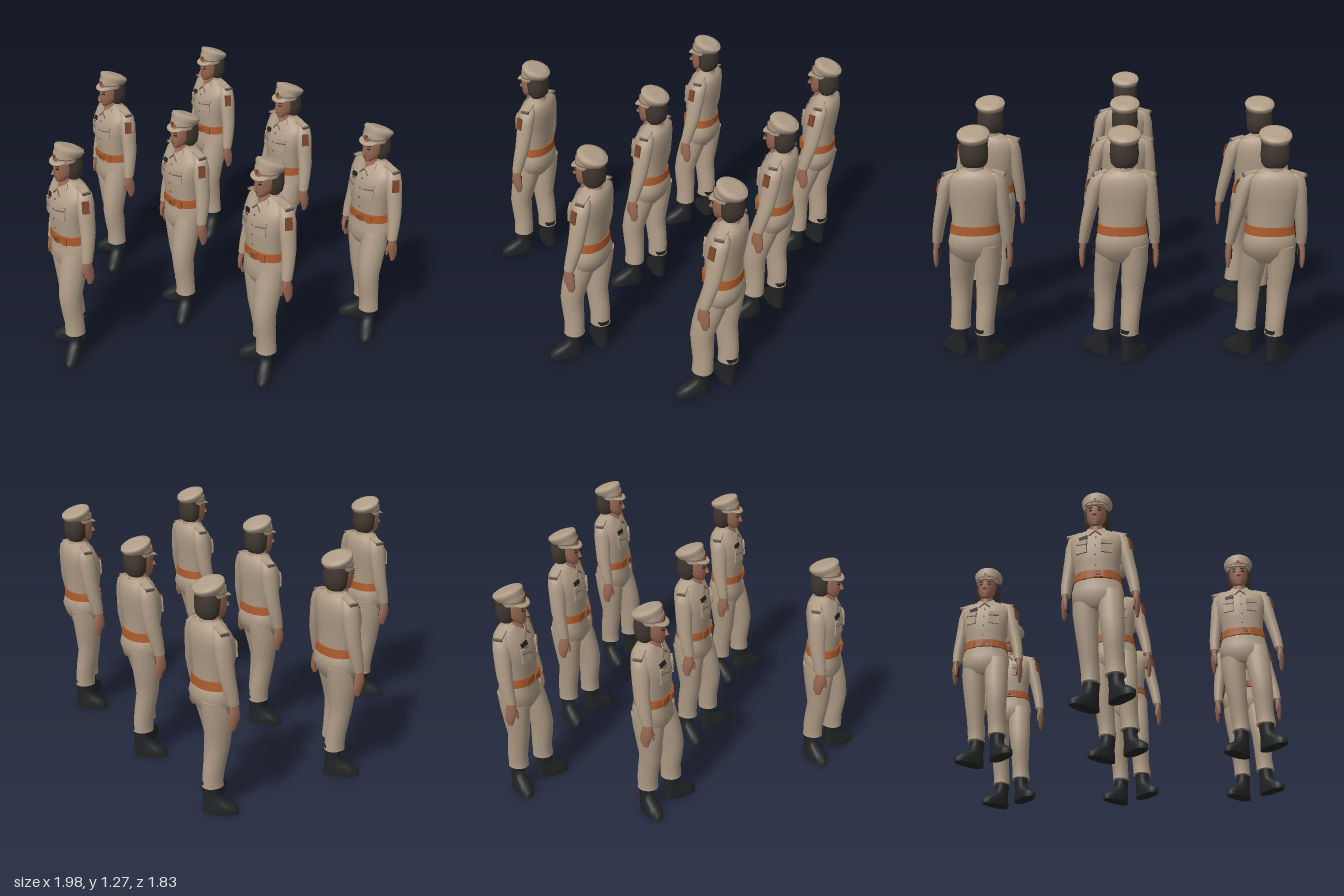
import * as THREE from 'three';

const mat = (name, color, side = THREE.FrontSide) => {
  const m = new THREE.MeshStandardMaterial({ color, side });
  m.name = name;
  return m;
};

// Smooth body from cross-sections [y, centreX, centreZ, radiusX, radiusZ], lowest first
function loft(rings, power = 1, n = 20) {
  const pos = [], idx = [];
  const addRing = ([y, cx, cz, rx, rz]) => {
    const start = pos.length / 3;
    for (let i = 0; i < n; i++) {
      const a = (i / n) * Math.PI * 2, s = Math.sin(a), c = Math.cos(a);
      pos.push(cx + rx * Math.sign(s) * Math.abs(s) ** power, y, cz + rz * Math.sign(c) * Math.abs(c) ** power);
    }
    return start;
  };
  const starts = rings.map(addRing);
  for (let j = 0; j < starts.length - 1; j++)
    for (let i = 0; i < n; i++) {
      const k = (i + 1) % n, a = starts[j], b = starts[j + 1];
      idx.push(a + i, a + k, b + k, a + i, b + k, b + i);
    }
  // End caps use their own ring so the rim stays sharp
  for (const top of [false, true]) {
    const r = rings[top ? rings.length - 1 : 0], s = addRing(r), c = pos.length / 3;
    pos.push(r[1], r[0], r[2]);
    for (let i = 0; i < n; i++) {
      const k = (i + 1) % n;
      if (top) idx.push(c, s + i, s + k);
      else idx.push(c, s + k, s + i);
    }
  }
  const g = new THREE.BufferGeometry();
  g.setAttribute('position', new THREE.Float32BufferAttribute(pos, 3));
  g.setIndex(idx);
  g.computeVertexNormals();
  return g;
}

function createFigure() {
  const khaki = mat('khaki cloth', 0xaf9c86);
  const seam = mat('shaded khaki', 0x6f6253, THREE.DoubleSide);
  const skin = mat('skin', 0x9a6a54);
  const hair = mat('dark brown hair', 0x41362f);
  const black = mat('black leather', 0x222324);
  const leather = mat('orange brown belt', 0xa9592a);
  const brown = mat('brown patch', 0x7b4529);
  const fig = new THREE.Group();
  const add = (name, geo, m, p = [0, 0, 0], r = [0, 0, 0]) => {
    const mesh = new THREE.Mesh(geo, m);
    mesh.name = name;
    mesh.position.set(...p);
    mesh.rotation.set(...r);
    fig.add(mesh);
    return mesh;
  };
  const box = (name, size, m, p, r) => add(name, new THREE.BoxGeometry(...size), m, p, r);

  // Trunk
  add('pelvis', loft([
    [0.55, -0.018, -0.025, 0.09, 0.06], [0.60, -0.018, -0.03, 0.138, 0.098],
    [0.66, -0.02, -0.045, 0.142, 0.102], [0.70, -0.02, -0.042, 0.133, 0.096], [0.74, -0.02, -0.038, 0.12, 0.089]], 0.9), khaki);
  add('shirt', loft([
    [0.73, -0.02, -0.036, 0.119, 0.089], [0.82, -0.025, -0.034, 0.125, 0.093], [0.89, -0.028, -0.035, 0.14, 0.1],
    [0.96, -0.03, -0.045, 0.15, 0.096], [1.01, -0.03, -0.057, 0.148, 0.078],
    [1.035, -0.03, -0.062, 0.115, 0.06], [1.06, -0.03, -0.055, 0.048, 0.044]], 0.9, 28), khaki);
  add('belt', loft([[0.712, -0.02, -0.038, 0.134, 0.099], [0.758, -0.02, -0.036, 0.125, 0.097]], 0.9, 28), leather);
  box('buckle', [0.05, 0.04, 0.012], leather, [-0.005, 0.732, 0.062]);
  box('buckleFrame', [0.028, 0.024, 0.005], brown, [-0.005, 0.732, 0.07]);
  for (const x of [-0.085, 0.055]) box('beltPouch', [0.03, 0.045, 0.014], leather, [x, 0.732, 0.046], [0, (x + 0.02) * 5, 0]);

  // Shirt details
  for (const [y, z] of [[0.79, 0.059], [0.85, 0.064], [0.91, 0.063], [0.965, 0.05]])
    box('button', [0.008, 0.008, 0.006], seam, [-0.022, y, z]);
  for (const s of [-1, 1]) {
    const x = -0.03 + s * 0.068;
    box('breastPocket', [0.062, 0.08, 0.014], khaki, [x, 0.905, 0.05], [-0.05, s * 0.36, 0]);
    box('pocketFlap', [0.064, 0.006, 0.006], seam, [x, 0.917, 0.057], [0, s * 0.36, s * 0.12]);
    box('pocketHem', [0.06, 0.004, 0.005], seam, [x, 0.866, 0.055], [0, s * 0.36, 0]);
    box('epaulette', [0.08, 0.012, 0.045], khaki, [-0.03 + s * 0.125, 1.036, -0.062], [0, 0, -s * 0.28]);
    box('epauletteTrim', [0.012, 0.014, 0.049], seam, [-0.03 + s * 0.16, 1.027, -0.062], [0, 0, -s * 0.28]);
    // Pointed collar leaf
    const leaf = new THREE.Shape([[0, 0.004], [s * 0.046, 0.05], [s * 0.064, 0.004], [s * 0.034, -0.026]].map(q => new THREE.Vector2(...q)));
    const geo = new THREE.ExtrudeGeometry(leaf, { depth: 0.006, bevelEnabled: false });
    add('collarLeaf', geo, khaki, [-0.028, 1.018, 0.021], [-0.5, s * 0.3, 0]);
    box('collarEdge', [0.042, 0.004, 0.006], seam, [-0.028 + s * 0.018, 1.0, 0.033], [-0.5, s * 0.3, -s * 0.72]);
  }
  box('chestBadge', [0.05, 0.026, 0.007], black, [-0.092, 0.965, 0.041], [-0.2, -0.35, 0.12]);
  box('nameplate', [0.032, 0.026, 0.007], brown, [-0.088, 0.936, 0.054], [-0.1, -0.35, 0]);
  box('sleevePatch', [0.008, 0.07, 0.04], brown, [0.159, 0.96, -0.037], [0, -0.4, 0.2]);
  add('collarBand', loft([[1.035, -0.03, -0.055, 0.058, 0.054], [1.075, -0.03, -0.06, 0.046, 0.046]]), khaki);
  add('neck', loft([[1.02, -0.03, -0.035, 0.04, 0.055], [1.1, -0.03, -0.045, 0.036, 0.042]]), skin);

  // Arms, with a centre line for each side
  const armY = [0.645, 0.72, 0.8, 0.88, 0.96, 1.015, 1.04];
  const armZ = [-0.018, -0.032, -0.047, -0.053, -0.058, -0.064, -0.066];
  const armRx = [0.026, 0.031, 0.035, 0.038, 0.043, 0.04, 0.02];
  const armRz = [0.031, 0.038, 0.044, 0.048, 0.051, 0.045, 0.025];
  const armX = { left: [0.186, 0.174, 0.157, 0.138, 0.12, 0.1, 0.08], right: [-0.19, -0.188, -0.179, -0.169, -0.158, -0.146, -0.13] };
  for (const side of ['left', 'right']) {
    const s = side === 'left' ? 1 : -1, hx = s > 0 ? 0.194 : -0.198;
    add(side + 'Sleeve', loft(armY.map((y, i) => [y, armX[side][i], armZ[i], armRx[i], armRz[i]])), khaki);
    add(side + 'Hand', loft([
      [0.508, hx, -0.026, 0.007, 0.013], [0.54, hx, -0.028, 0.013, 0.026], [0.59, hx, -0.018, 0.017, 0.034],
      [0.625, hx - s * 0.004, -0.016, 0.017, 0.028], [0.66, hx - s * 0.008, -0.018, 0.019, 0.024]], 1, 12), skin);
    add(side + 'Thumb', loft([[0.55, hx - s * 0.012, 0.012, 0.006, 0.007], [0.585, hx - s * 0.012, 0.012, 0.009, 0.01],
      [0.62, hx - s * 0.008, 0, 0.009, 0.012]], 1, 8), skin);
    box(side + 'Palm', [0.006, 0.055, 0.038], black, [hx - s * 0.017, 0.585, -0.022]);
  }

  // Trousers, the left leg ahead of the right
  const legs = {
    left: [[0.15, 0.085, 0.022, 0.056, 0.058], [0.165, 0.085, 0.022, 0.054, 0.057], [0.22, 0.08, 0.022, 0.052, 0.056],
      [0.3, 0.076, 0.03, 0.055, 0.061], [0.38, 0.073, 0.035, 0.06, 0.065], [0.46, 0.065, 0.02, 0.066, 0.073],
      [0.56, 0.056, -0.005, 0.07, 0.08], [0.65, 0.05, -0.028, 0.068, 0.08]],
    right: [[0.15, -0.058, -0.067, 0.051, 0.058], [0.165, -0.058, -0.067, 0.049, 0.056], [0.22, -0.061, -0.066, 0.05, 0.057],
      [0.3, -0.067, -0.055, 0.053, 0.06], [0.38, -0.073, -0.042, 0.058, 0.062], [0.46, -0.08, -0.044, 0.064, 0.071],
      [0.56, -0.086, -0.045, 0.071, 0.084], [0.65, -0.086, -0.052, 0.07, 0.088]],
  };
  const bootGeo = loft([[0, 0, 0.05, 0.041, 0.097], [0.028, 0, 0.05, 0.043, 0.096], [0.055, 0, 0.034, 0.039, 0.077],
    [0.085, 0, 0.008, 0.036, 0.048], [0.12, 0, 0, 0.037, 0.042], [0.18, 0, 0, 0.041, 0.046]], 0.85);
  for (const side of ['left', 'right']) {
    const s = side === 'left' ? 1 : -1;
    add(side + 'Trouser', loft(legs[side], 0.95), khaki);
    add(side + 'Boot', bootGeo, black, s > 0 ? [0.086, 0, 0.022] : [-0.055, 0, -0.078], [0, s > 0 ? 0.75 : -0.72, 0]);
  }

  // Head
  add('face', loft([[1.062, -0.03, 0.006, 0.018, 0.022], [1.08, -0.03, -0.01, 0.036, 0.044], [1.11, -0.03, -0.025, 0.05, 0.063],
    [1.15, -0.03, -0.03, 0.055, 0.07], [1.21, -0.03, -0.035, 0.056, 0.072]]), skin);
  add('nose', new THREE.ConeGeometry(0.013, 0.04, 6), skin, [-0.03, 1.13, 0.045], [-0.15, 0, 0]);
  box('mouth', [0.026, 0.005, 0.006], brown, [-0.03, 1.094, 0.034]);
  for (const s of [-1, 1]) {
    box('eye', [0.018, 0.007, 0.006], black, [-0.03 + s * 0.024, 1.146, 0.034], [0, s * 0.4, 0]);
    box('eyebrow', [0.024, 0.006, 0.006], hair, [-0.03 + s * 0.024, 1.163, 0.034], [0, s * 0.4, 0]);
  }
  add('hair', loft([[1.07, -0.03, -0.065, 0.052, 0.04], [1.09, -0.03, -0.067, 0.069, 0.055], [1.13, -0.03, -0.067, 0.075, 0.062],
    [1.17, -0.03, -0.064, 0.074, 0.063], [1.215, -0.03, -0.058, 0.069, 0.064]]), hair);

  // Peaked cap with a crown tilted up at the front
  add('capBand', loft([[1.18, -0.03, -0.036, 0.071, 0.073], [1.2, -0.03, -0.042, 0.073, 0.076], [1.225, -0.03, -0.045, 0.074, 0.077]], 1, 28), khaki);
  add('capPiping', loft([[1.199, -0.03, -0.042, 0.075, 0.078], [1.204, -0.03, -0.042, 0.075, 0.078]], 1, 28), seam);
  add('capCrown', loft([[-0.04, 0, 0.006, 0.07, 0.073], [-0.015, 0, 0, 0.08, 0.08], [0, 0, 0, 0.086, 0.085],
    [0.01, 0, 0, 0.082, 0.081], [0.018, 0, 0, 0.055, 0.055]], 1, 28), khaki, [-0.03, 1.236, -0.058], [-0.34, 0, 0]);
  const visor = add('capVisor', new THREE.SphereGeometry(1, 24, 8), khaki, [-0.03, 1.188, 0.012], [0.35, 0, 0]);
  visor.scale.set(0.064, 0.008, 0.05);
  box('capBadge', [0.018, 0.02, 0.006], brown, [-0.03, 1.212, 0.036], [-0.1, 0, 0]);
  return fig;
}

// Seven figures on a grid: two rows of three and one in front
export function createModel() {
  const model = new THREE.Group();
  const figure = createFigure(), step = 0.775;
  for (const [col, row] of [[-1, -1], [0, -1], [1, -1], [-1, 0], [0, 0], [1, 0], [0, 1]]) {
    const f = figure.clone();
    f.name = 'uniformedFigure';
    f.position.set(col * step, 0, row * step);
    model.add(f);
  }
  return model;
}
